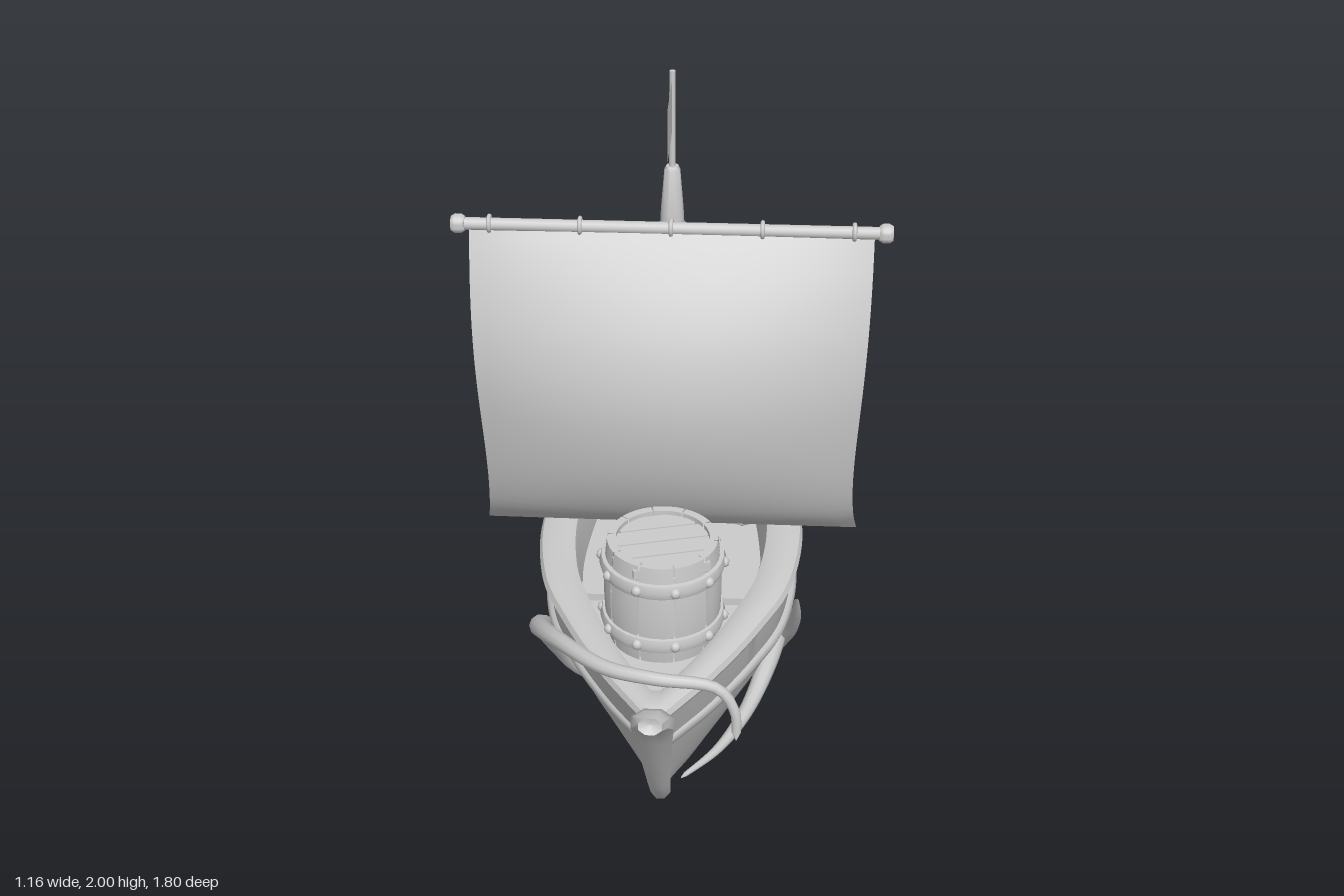
import * as THREE from 'three';
import { toCreasedNormals } from 'three/addons/utils/BufferGeometryUtils.js';

const V = (x, y, z) => new THREE.Vector3(x, y, z);
const mat = new THREE.MeshStandardMaterial({ color: 0xcccccc });
const thin = new THREE.MeshStandardMaterial({ color: 0xcccccc, side: THREE.DoubleSide });

function add(parent, name, geo, x = 0, y = 0, z = 0, material = mat) {
  const m = new THREE.Mesh(geo, material);
  m.name = name;
  m.position.set(x, y, z);
  parent.add(m);
  return m;
}

// Skin between closed rings of points, with creased normals
function loft(rings, crease = 0.6) {
  const n = rings[0].length, idx = [];
  for (let i = 0; i < rings.length - 1; i++) for (let j = 0; j < n; j++) {
    const k = (j + 1) % n, a = i * n, b = a + n;
    idx.push(a + j, b + j, a + k, a + k, b + j, b + k);
  }
  const g = new THREE.BufferGeometry().setFromPoints(rings.flat());
  g.setIndex(idx);
  return toCreasedNormals(g, crease);
}

// Boat plan: half width (0..1) against length (0 stern .. 1 bow)
const plan = new THREE.CatmullRomCurve3([
  [0, 0], [0.3, 0.003], [0.56, 0.012], [0.65, 0.035], [0.75, 0.11], [0.87, 0.2], [0.97, 0.345], [1, 0.48],
  [0.92, 0.62], [0.7, 0.75], [0.4, 0.88], [0.2, 0.95], [0.05, 1],
].map(([x, z]) => V(x, 0, z)), false, 'centripetal').getPoints(72);

function outline([y, sx, z0, z1]) {
  const right = plan.map(p => V(p.x * sx, y, z0 + p.z * (z1 - z0)));
  const left = right.slice(1).reverse().map(p => V(-p.x, p.y, p.z));
  return [...right, ...left];
}

// Tapering tube through points, radius given as [start, middle, end]
function tentacle(pts, [r0, r1, r2]) {
  const n = 72, s = 10;
  const curve = new THREE.CatmullRomCurve3(pts.map(p => V(...p)), false, 'centripetal');
  const g = new THREE.TubeGeometry(curve, n, 1, s, false);
  const pos = g.attributes.position, v = V(0, 0, 0);
  for (let i = 0; i <= n; i++) {
    const t = i / n, c = curve.getPointAt(t);
    const base = t < 0.5 ? THREE.MathUtils.lerp(r0, r1, t * 2) : THREE.MathUtils.lerp(r1, r2, t * 2 - 1);
    const r = i === 0 || i === n ? 0.001 : base;
    for (let j = 0; j <= s; j++) {
      v.fromBufferAttribute(pos, i * (s + 1) + j).sub(c).multiplyScalar(r).add(c);
      pos.setXYZ(i * (s + 1) + j, v.x, v.y, v.z);
    }
  }
  return g;
}

const rod = (r0, r1, h, seg = 16) => new THREE.CylinderGeometry(r0, r1, h, seg);
const lathe = (pts, seg = 24, a = 0, len = Math.PI * 2) =>
  toCreasedNormals(new THREE.LatheGeometry(pts.map(p => new THREE.Vector2(...p)), seg, a, len), 0.7);

function buildHull(boat) {
  // Outer skin, rounded gunwale, inner wall and deck in one loft
  add(boat, 'hull', loft([
    [0.095, 0, -0.5, 0.44], [0.1, 0.17, -0.56, 0.47], [0.13, 0.198, -0.58, 0.5], [0.2, 0.245, -0.615, 0.545],
    [0.3, 0.3, -0.66, 0.61], [0.42, 0.345, -0.715, 0.685], [0.585, 0.358, -0.775, 0.78],
    [0.586, 0.37, -0.79, 0.79], [0.602, 0.378, -0.8, 0.8], [0.618, 0.37, -0.795, 0.79],
    [0.628, 0.345, -0.775, 0.765], [0.628, 0.3, -0.73, 0.72], [0.618, 0.275, -0.71, 0.69],
    [0.6, 0.27, -0.7, 0.68], [0.46, 0.26, -0.68, 0.62], [0.46, 0, -0.6, 0.5],
  ].map(outline)));
  add(boat, 'rubRail', loft([
    [0.41, 0.335, -0.705, 0.675], [0.416, 0.358, -0.727, 0.692], [0.438, 0.366, -0.745, 0.71],
    [0.456, 0.36, -0.743, 0.715], [0.463, 0.345, -0.73, 0.705],
  ].map(outline), 1));

  // Raised foredeck under the barrel
  const pts = outline([0, 0.272, -0.7, 0.68]).filter(p => p.z > 0.2);
  const deck = new THREE.ExtrudeGeometry(new THREE.Shape(pts.map(p => new THREE.Vector2(p.x, -p.z))),
    { depth: 0.03, bevelEnabled: false });
  add(boat, 'foredeck', deck.rotateX(-Math.PI / 2), 0, 0.54, 0);
  add(boat, 'foreBeam', new THREE.BoxGeometry(0.49, 0.035, 0.055), 0, 0.575, 0.22);
  add(boat, 'bench', new THREE.BoxGeometry(0.54, 0.035, 0.055), 0, 0.565, -0.36);

  // Stem post, eight-sided: z, y, half width, half thickness, tilt of the section
  const rings = [
    [0.885, 0.667, 0, 0, 0.4], [0.897, 0.67, 0.03, 0.022, 0.35], [0.86, 0.652, 0.044, 0.03, 0.5],
    [0.81, 0.61, 0.056, 0.036, 0.75], [0.765, 0.54, 0.05, 0.034, 1], [0.65, 0.355, 0.04, 0.033, 1.02],
    [0.56, 0.21, 0.032, 0.032, 1.0], [0.495, 0.115, 0.028, 0.03, 0.7], [0.455, 0.102, 0.026, 0.02, 0.1],
    [0.37, 0.106, 0.024, 0.014, 0], [0.37, 0.106, 0, 0, 0],
  ].map(([z, y, w, d, a]) => Array.from({ length: 8 }, (_, i) => {
    const c = Math.cos((i + 0.5) * Math.PI / 4) * 1.06, s = Math.sin((i + 0.5) * Math.PI / 4) * 1.06;
    return V(-c * w, y + s * d * Math.cos(a), z - s * d * Math.sin(a));
  }));
  add(boat, 'stemPost', loft(rings, 0.9), 0, 0, 0, thin);
}

function buildRig(boat) {
  const rig = new THREE.Group();
  rig.name = 'rig';
  boat.add(rig);
  add(rig, 'mast', lathe([[0.048, 0.46], [0.048, 0.5], [0.034, 0.52], [0.032, 1.58], [0.03, 1.62], [0.021, 1.73], [0.016, 1.74], [0, 1.74]]), 0, 0, -0.08);
  add(rig, 'flagPole', rod(0.008, 0.009, 0.28, 10), 0, 1.86, -0.08);
  add(rig, 'flag', new THREE.PlaneGeometry(0.21, 0.14).rotateY(Math.PI / 2), 0, 1.91, 0.032, thin);
  add(rig, 'yard', rod(0.017, 0.017, 1.12).rotateZ(Math.PI / 2), 0, 1.585, -0.025);
  for (const s of [-1, 1])
    add(rig, 'yardCap', lathe([[0, -0.018], [0.02, -0.018], [0.026, -0.008], [0.026, 0.008], [0.02, 0.018], [0, 0.018]]).rotateZ(Math.PI / 2), s * 0.563, 1.585, -0.025);
  for (const x of [-0.48, -0.24, 0, 0.24, 0.48])
    add(rig, 'sailRing', new THREE.TorusGeometry(0.02, 0.006, 8, 16).rotateY(Math.PI / 2), x, 1.587, -0.025);
  add(rig, 'yardLashing', new THREE.TorusGeometry(0.034, 0.008, 8, 20).rotateX(Math.PI / 2), 0, 1.565, -0.08);

  // Billowing sail
  const edge = new THREE.CatmullRomCurve3([[-0.02, 1.585], [0.04, 1.42], [0.075, 1.28], [0.085, 1.12], [0.05, 0.87], [-0.005, 0.72], [-0.075, 0.625]]
    .map(([z, y]) => V(0, y, z)));
  const sail = new THREE.PlaneGeometry(2, 1, 28, 28), p = sail.attributes.position;
  for (let i = 0; i < p.count; i++) {
    const u = p.getX(i), v = 0.5 - p.getY(i), e = edge.getPointAt(v), round = 1 - u * u;
    const half = 0.533 - 0.024 * Math.sin(Math.PI * v ** 2);
    const foot = (1 - u ** 4) * v ** 5;
    p.setXYZ(i, u * half, e.y + 0.04 * foot, e.z + 0.1 * round * Math.sin(Math.PI * v) ** 0.8 + 0.06 * foot);
  }
  sail.computeVertexNormals();
  add(rig, 'sail', sail, 0, 0, 0, thin);
}

function buildBarrel(boat) {
  const barrel = new THREE.Group();
  barrel.name = 'barrel';
  barrel.position.set(0, 0.57, 0.37);
  barrel.rotation.y = 0.26;
  boat.add(barrel);
  const staves = 10, step = Math.PI * 2 / staves;
  add(barrel, 'barrelCore', rod(0.137, 0.137, 0.26, 30), 0, 0.133);
  for (let i = 0; i < staves; i++)
    add(barrel, 'stave', lathe([[0.13, 0], [0.145, 0], [0.155, 0.07], [0.158, 0.15], [0.155, 0.24], [0.147, 0.305], [0.125, 0.305], [0.125, 0.25]],
      4, i * step + 0.015, step - 0.03), 0, 0, 0, thin);
  for (const y of [0.065, 0.238]) {
    add(barrel, 'hoop', lathe([[0.15, -0.022], [0.163, -0.02], [0.169, 0], [0.163, 0.02], [0.15, 0.022]], 30), 0, y);
    for (let i = 0; i < staves; i++)
      add(barrel, 'rivet', new THREE.SphereGeometry(0.015, 10, 8), 0.163 * Math.sin(i * step), y, 0.163 * Math.cos(i * step));
  }
  // Lid planks cut to the round
  for (const z of [-0.093, -0.031, 0.031, 0.093])
    add(barrel, 'lidPlank', new THREE.BoxGeometry(2 * Math.sqrt(0.138 ** 2 - z ** 2), 0.025, 0.057), 0, 0.28, z);
}

function buildRudder(boat) {
  const rudder = new THREE.Group();
  rudder.name = 'rudder';
  boat.add(rudder);
  const along = (r, len) => rod(r, r, len).rotateX(Math.PI / 2);
  add(rudder, 'rudderShaft', rod(0.014, 0.014, 0.51), 0, 0.49, -0.815);
  add(rudder, 'tiller', along(0.012, 0.23), 0, 0.715, -0.745);
  add(rudder, 'tillerGrip', along(0.015, 0.05), 0, 0.715, -0.655);
  add(rudder, 'tillerHub', new THREE.SphereGeometry(0.022, 14, 10), 0, 0.715, -0.815);
  for (const y of [0.395, 0.48]) {
    add(rudder, 'hinge', rod(0.024, 0.024, 0.035), 0, y, -0.815);
    add(rudder, 'hingeArm', along(0.012, 0.13), 0, y, -0.755);
  }
  // Blade outline in (-z, y)
  const shape = new THREE.Shape([[0.78, 0.155], [0.9, 0.155], [0.9, 0.275], [0.865, 0.34], [0.78, 0.34]].map(p => new THREE.Vector2(...p)));
  add(rudder, 'rudderBlade', new THREE.ExtrudeGeometry(shape, { depth: 0.016, bevelEnabled: false }).rotateY(Math.PI / 2), -0.008);
}

function buildTentacles(boat) {
  // Each runs from its tip to the shared root below the keel
  const arms = {
    sternLeftTentacle: [[[0.18, 0.63, -0.07], [0.27, 0.645, -0.1], [0.345, 0.63, -0.17], [0.385, 0.565, -0.3], [0.372, 0.47, -0.44], [0.345, 0.35, -0.55],
      [0.325, 0.22, -0.61], [0.25, 0.105, -0.61], [0.14, 0.085, -0.48], [0.03, 0.07, -0.3]], [0.014, 0.036, 0.045]],
    sideTentacle: [[[0.365, 0.51, 0.13], [0.365, 0.42, 0.07], [0.35, 0.31, -0.01], [0.305, 0.2, -0.09], [0.24, 0.09, -0.14],
      [0.15, 0.055, -0.13], [0, 0.055, -0.12], [-0.08, 0.055, -0.12]], [0.006, 0.043, 0.047]],
    hullTentacle: [[[0.06, 0.22, 0.57], [0.16, 0.205, 0.42], [0.235, 0.21, 0.25], [0.295, 0.25, 0.05], [0.318, 0.27, -0.13], [0.31, 0.235, -0.3],
      [0.265, 0.14, -0.43], [0.19, 0.085, -0.48], [0.09, 0.075, -0.38], [0, 0.06, -0.15]], [0.006, 0.04, 0.046]],
    bowTentacle: [[[0.21, 0.47, 0.7], [0.205, 0.56, 0.695], [0.16, 0.63, 0.69], [0, 0.655, 0.69], [-0.13, 0.645, 0.64], [-0.27, 0.605, 0.48],
      [-0.345, 0.51, 0.3], [-0.36, 0.36, 0.1], [-0.33, 0.2, -0.03], [-0.265, 0.08, -0.09], [-0.14, 0.05, -0.11], [0.1, 0.05, -0.13]], [0.012, 0.028, 0.048]],
    sternRightTentacle: [[[-0.1, 0.635, -0.685], [-0.2, 0.642, -0.69], [-0.275, 0.625, -0.69], [-0.29, 0.5, -0.69], [-0.28, 0.34, -0.655],
      [-0.225, 0.15, -0.56], [-0.15, 0.085, -0.41], [-0.07, 0.065, -0.26], [0.02, 0.055, -0.13]], [0.008, 0.03, 0.046]],
  };
  for (const [name, [pts, radii]] of Object.entries(arms)) add(boat, name, tentacle(pts, radii));
}

export function createModel() {
  const boat = new THREE.Group();
  boat.name = 'sailboat';
  for (const build of [buildHull, buildRig, buildBarrel, buildRudder, buildTentacles]) build(boat);
  return boat;
}
